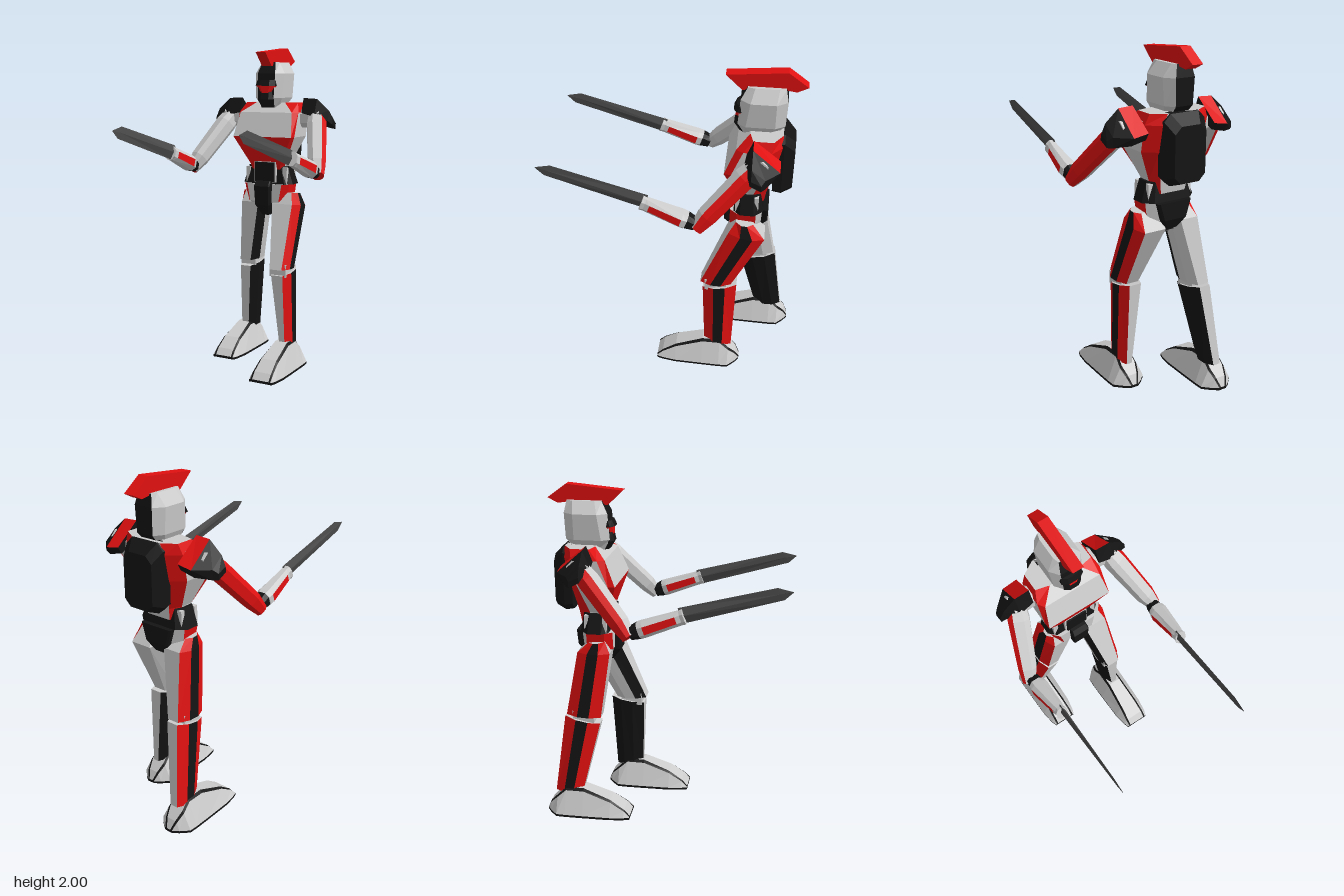
import * as THREE from 'three';

const GREY = 0xcccccc, RED = 0xe01010, BLACK = 0x141414, STEEL = 0x4c4c4c;
const mats = {};
const mat = (c) => (mats[c] ??= new THREE.MeshStandardMaterial({ color: c, flatShading: true }));

// Faceted body through matching rings of [x, y, z]; paint(band, edge) gives each face its colour,
// band -1 being the two end caps. s = -1 mirrors it in x.
function loft(parent, name, rings, paint, s = 1) {
  const tris = [];
  const n = rings[0].length;
  const V = rings.map((r) => r.map((p) => new THREE.Vector3(p[0] * s, p[1], p[2])));
  const add = (c, a, b, d) => tris.push([c, a, b, d]);
  for (let i = 0; i < V.length - 1; i++) {
    for (let k = 0; k < n; k++) {
      const j = (k + 1) % n, c = paint(i, k);
      add(c, V[i][k], V[i][j], V[i + 1][j]);
      add(c, V[i][k], V[i + 1][j], V[i + 1][k]);
    }
  }
  const last = V[V.length - 1];
  for (let k = 1; k < n - 1; k++) {
    add(paint(-1, 0), V[0][0], V[0][k + 1], V[0][k]);
    add(paint(-1, 1), last[0], last[k], last[k + 1]);
  }
  // the signed volume tells whether the faces point outward
  const o = V[0][0], q = () => new THREE.Vector3();
  let vol = 0;
  for (const [, a, b, d] of tris) vol += q().subVectors(a, o).dot(q().subVectors(b, o).cross(q().subVectors(d, o)));
  const byColor = new Map();
  for (const [c, a, b, d] of tris) {
    if (q().subVectors(b, a).cross(q().subVectors(d, a)).length() < 1e-9) continue;
    if (!byColor.has(c)) byColor.set(c, []);
    byColor.get(c).push(...(vol > 0 ? [a, b, d] : [a, d, b]));
  }
  const group = new THREE.Group();
  group.name = name;
  for (const [c, pts] of byColor) {
    const geo = new THREE.BufferGeometry().setFromPoints(pts);
    geo.computeVertexNormals();
    const mesh = new THREE.Mesh(geo, mat(c));
    mesh.name = name;
    group.add(mesh);
  }
  parent.add(group);
}

function box(parent, name, c, size, pos) {
  const mesh = new THREE.Mesh(new THREE.BoxGeometry(...size), mat(c));
  mesh.name = name;
  mesh.position.set(...pos);
  parent.add(mesh);
}

// Level eight-sided ring: front width and z, side width and z range, back width and z.
// Edges: 0/6 front corners, 1/5 sides, 2/4 back corners, 3 back, 7 front.
const ring = (y, wf, zf, ws, z1, z2, wb, zb) => {
  const half = [[wf, y, zf], [ws, y, z1], [ws, y, z2], [wb, y, zb]];
  return [...half, ...half.map(([x, yy, z]) => [-x, yy, z]).reverse()];
};

// Chamfered rectangle across the direction of a limb; edge 0 faces outward, 2 up, 4 inward.
function across(c, dir, hx, hy, k = 0.5) {
  const d = new THREE.Vector3(...dir).normalize();
  const side = new THREE.Vector3(d.z, 0, -d.x).normalize();
  const up = new THREE.Vector3().crossVectors(d, side);
  return [[1, -k], [1, k], [k, 1], [-k, 1], [-1, k], [-1, -k], [-k, -1], [k, -1]].map(([u, v]) =>
    new THREE.Vector3(...c).addScaledVector(side, u * hx).addScaledVector(up, v * hy).toArray());
}

function addHead(body) {
  loft(body, 'neck', [ring(1.56, 0.05, -0.4, 0.07, -0.43, -0.5, 0.05, -0.53),
    ring(1.66, 0.05, -0.38, 0.065, -0.41, -0.5, 0.05, -0.53)], () => GREY);
  loft(body, 'helmet', [
    ring(1.63, 0.045, -0.37, 0.06, -0.41, -0.5, 0.045, -0.54),
    ring(1.69, 0.055, -0.335, 0.09, -0.38, -0.54, 0.055, -0.595),
    ring(1.84, 0.06, -0.345, 0.102, -0.4, -0.54, 0.06, -0.6),
    ring(1.91, 0.045, -0.38, 0.055, -0.42, -0.55, 0.045, -0.585),
  ], (i, k) => (k === 7 || k === 3 ? BLACK : GREY));
  // face: jaw mask, visor and brow
  const bar = (y, w, z) => [[-w, y, z - 0.05], [-w, y, z - 0.02], [-w * 0.5, y, z], [w * 0.5, y, z], [w, y, z - 0.02], [w, y, z - 0.05]];
  loft(body, 'jawMask', [bar(1.63, 0.04, -0.345), bar(1.68, 0.055, -0.315), bar(1.73, 0.05, -0.325)], () => BLACK);
  loft(body, 'visor', [bar(1.72, 0.038, -0.32), bar(1.765, 0.068, -0.325)], () => RED);
  loft(body, 'brow', [bar(1.765, 0.068, -0.31), bar(1.8, 0.062, -0.325)], () => BLACK);
  const crest = [[-0.26, 1.97], [-0.59, 2.0], [-0.7, 1.92], [-0.64, 1.89], [-0.51, 1.91], [-0.35, 1.885]];
  loft(body, 'crest', [-0.033, 0.033].map((x) => crest.map(([z, y]) => [x, y, z])), () => RED);
}

function addTorso(body) {
  loft(body, 'chest', [
    ring(1.2, 0.09, -0.37, 0.11, -0.39, -0.44, 0.08, -0.51),
    ring(1.27, 0.1, -0.34, 0.12, -0.37, -0.45, 0.09, -0.52),
    ring(1.45, 0.2, -0.28, 0.205, -0.32, -0.5, 0.13, -0.56),
    ring(1.6, 0.178, -0.34, 0.205, -0.38, -0.53, 0.13, -0.59),
    ring(1.66, 0.1, -0.41, 0.18, -0.43, -0.54, 0.1, -0.59),
  ], (i, k) => {
    if (i < 0 || k === 3) return GREY;
    if (k === 7) return i < 2 ? RED : GREY;
    if (k === 1 || k === 5) return i === 3 ? RED : GREY;
    return RED;
  });
  // backpack, an eight-sided slab
  const slab = (z, w, y0, y1, c) => [[w, y0 + c], [w, y1 - c], [w - c, y1], [c - w, y1], [-w, y1 - c], [-w, y0 + c], [c - w, y0], [w - c, y0]]
    .map(([x, y]) => [x, y, z]);
  loft(body, 'backpack', [slab(-0.55, 0.13, 1.28, 1.66, 0.04), slab(-0.6, 0.13, 1.27, 1.66, 0.04), slab(-0.66, 0.1, 1.29, 1.6, 0.04)], () => BLACK);
  loft(body, 'waist', [
    ring(1.15, 0.13, -0.34, 0.172, -0.38, -0.46, 0.12, -0.51),
    ring(1.265, 0.1, -0.355, 0.135, -0.38, -0.45, 0.1, -0.49),
  ], () => BLACK);
  for (const s of [-1, 1]) {
    for (const z of [-0.362, -0.47]) box(body, 'waistTrim', GREY, [0.03, 0.1, 0.025], [s * 0.128, 1.205, z]);
  }
  box(body, 'buckleFrame', GREY, [0.15, 0.13, 0.05], [0, 1.227, -0.355]);
  box(body, 'buckle', BLACK, [0.132, 0.122, 0.05], [0, 1.227, -0.345]);
  loft(body, 'pelvis', [
    ring(0.97, 0.04, -0.38, 0.05, -0.4, -0.46, 0.04, -0.48),
    ring(1.04, 0.1, -0.32, 0.14, -0.37, -0.47, 0.08, -0.5),
    ring(1.15, 0.12, -0.32, 0.155, -0.36, -0.47, 0.1, -0.51),
  ], (i, k) => (i === 1 && (k === 1 || k === 5 || k === 0 || k === 6) ? RED : i === 0 && k === 3 ? BLACK : GREY));
  loft(body, 'groinGuard', [
    ring(0.95, 0.02, -0.34, 0.025, -0.36, -0.42, 0.02, -0.45),
    ring(1.02, 0.045, -0.285, 0.05, -0.3, -0.38, 0.04, -0.42),
    ring(1.14, 0.05, -0.275, 0.055, -0.29, -0.38, 0.05, -0.42),
    ring(1.17, 0.045, -0.3, 0.05, -0.31, -0.38, 0.05, -0.42),
  ], () => BLACK);
  loft(body, 'rearGuard', [
    ring(0.99, 0.03, -0.45, 0.04, -0.47, -0.5, 0.03, -0.51),
    ring(1.05, 0.07, -0.45, 0.08, -0.47, -0.53, 0.07, -0.54),
    ring(1.15, 0.1, -0.45, 0.11, -0.47, -0.53, 0.1, -0.54),
  ], () => BLACK);
}

function addArm(body, s) {
  const side = s > 0 ? 'left' : 'right';
  loft(body, side + 'Shoulder', [across([0.17, 1.56, -0.47], [1, 0, 0.01], 0.06, 0.055),
    across([0.33, 1.57, -0.46], [1, 0, 0.01], 0.06, 0.06)], () => GREY, s);
  // shoulder plate, tipped backward
  const plate = (x, pts) => pts.map(([z, y]) => [x, y, z]);
  loft(body, side + 'ShoulderPlate', [
    plate(0.215, [[-0.435, 1.69], [-0.585, 1.57], [-0.56, 1.53], [-0.4, 1.6]]),
    plate(0.305, [[-0.435, 1.685], [-0.585, 1.555], [-0.56, 1.51], [-0.39, 1.58]]),
    plate(0.385, [[-0.435, 1.615], [-0.51, 1.555], [-0.51, 1.5], [-0.42, 1.55]]),
    plate(0.41, [[-0.435, 1.56], [-0.49, 1.535], [-0.49, 1.5], [-0.43, 1.53]]),
  ], (i, k) => (i === 0 && k === 0 ? RED : BLACK), s);
  const dir = [0.14, -0.33, 0.29];
  loft(body, side + 'UpperArm', [
    across([0.295, 1.58, -0.46], dir, 0.05, 0.05),
    across([0.32, 1.52, -0.4], dir, 0.06, 0.058),
    across([0.405, 1.31, -0.21], dir, 0.052, 0.052),
    across([0.435, 1.24, -0.155], dir, 0.035, 0.035),
  ], (i, k) => ([7, 0, 1].includes(k) ? RED : GREY), s);
  const fwd = [0, 0.09, 0.25], fore = (t) => [0.412 - 0.012 * t, 1.28 + 0.085 * t, -0.1 + 0.24 * t];
  loft(body, side + 'Elbow', [across([0.415, 1.26, -0.15], fwd, 0.035, 0.035), across(fore(0), fwd, 0.04, 0.046)], () => BLACK, s);
  loft(body, side + 'Forearm', [
    across(fore(0), fwd, 0.045, 0.046), across(fore(0.12), fwd, 0.05, 0.046),
    across(fore(0.85), fwd, 0.033, 0.04), across(fore(0.95), fwd, 0.028, 0.04), across(fore(1.03), fwd, 0.033, 0.042),
  ], (i, k) => (i === 1 && (k === 0 || k === 4) ? RED : GREY), s);
  // blade with a diamond section and a slanted point
  const edge = (x, t, [zt, yt], [zb, yb]) => [[x, yt, zt], [x + t, (yt + yb) / 2, (zt + zb) / 2], [x, yb, zb], [x - t, (yt + yb) / 2, (zt + zb) / 2]];
  loft(body, side + 'Blade', [
    edge(0.39, 0.015, [0.11, 1.41], [0.13, 1.32]),
    edge(0.387 - s * 0.008, 0.004, [0.64, 1.55], [0.68, 1.485]),
    edge(0.387 - s * 0.009, 0.001, [0.725, 1.532], [0.725, 1.528]),
  ], () => STEEL, s);
}

// Leg ring: inner x, outer x, then z and y at the front and at the back.
const legRing = ([a, b, zf, yf, zb, yb]) =>
  [[b - 0.03, 0], [b, 0.33], [b, 0.67], [b - 0.03, 1], [a + 0.03, 1], [a, 0.7], [a, 0.35], [a + 0.03, 0]]
    .map(([x, t]) => [x, yf + (yb - yf) * t, zf + (zb - zf) * t]);

function addLeg(model, s, thigh, shin, footX, toeZ) {
  const side = s > 0 ? 'left' : 'right';
  loft(model, side + 'Thigh', thigh.map(legRing), (i, k) =>
    (i < 0 ? GREY : [RED, BLACK, RED, GREY, GREY, GREY, BLACK, GREY][k]), s);
  loft(model, side + 'Shin', shin.map(legRing), (i, k) =>
    (i < 0 ? GREY : [RED, BLACK, RED, GREY, BLACK, BLACK, BLACK, GREY][k]), s);
  // knee and ankle joints
  const k = thigh[thigh.length - 1], f = shin[shin.length - 1];
  box(model, side + 'Knee', GREY, [k[1] - k[0] - 0.03, 0.08, 0.13], [s * (k[0] + k[1]) / 2, 0.63, (k[2] + k[4]) / 2]);
  box(model, side + 'Ankle', BLACK, [0.06, 0.1, 0.1], [s * (f[0] + f[1]) / 2, 0.16, (f[2] + f[4]) / 2]);
  // foot sections from toe to heel: z, sole half width, top half width, height
  const section = ([z, w, t, h]) => [[w, 0], [w, Math.min(0.014, h)], [t + 0.012, h * 0.9], [t, h], [-t, h], [-t - 0.012, h * 0.9], [-w, Math.min(0.014, h)], [-w, 0]]
    .map(([x, y]) => [footX + x, y, toeZ + z]);
  loft(model, side + 'Foot', [
    [0, 0.075, 0.055, 0.016], [-0.035, 0.087, 0.055, 0.055], [-0.12, 0.1, 0.05, 0.112], [-0.29, 0.105, 0.04, 0.175],
    [-0.4, 0.107, 0.04, 0.175], [-0.455, 0.105, 0.045, 0.12], [-0.5, 0.06, 0.03, 0.07], [-0.525, 0.025, 0.012, 0.016],
  ].map(section), (i, e) => ([0, 2, 4, 6, 7].includes(e) || i < 0 ? BLACK : GREY));
}

export function createModel() {
  const model = new THREE.Group();
  model.name = 'armouredRobot';
  const body = new THREE.Group();
  body.name = 'upperBody';
  body.position.x = -0.012;
  model.add(body);
  addHead(body);
  addTorso(body);
  for (const s of [1, -1]) addArm(body, s);
  // left leg steps forward, right leg trails
  addLeg(model, 1,
    [[0.06, 0.19, -0.36, 1.1, -0.46, 1.09], [0.015, 0.212, -0.32, 1.03, -0.53, 1.0], [0.075, 0.215, -0.165, 0.64, -0.35, 0.635]],
    [[0.078, 0.215, -0.18, 0.6, -0.385, 0.635], [0.13, 0.225, -0.2, 0.15, -0.37, 0.13]], 0.175, 0.1);
  addLeg(model, -1,
    [[0.06, 0.19, -0.36, 1.1, -0.46, 1.09], [0.03, 0.205, -0.33, 1.03, -0.525, 1.03], [0.112, 0.245, -0.385, 0.63, -0.595, 0.64]],
    [[0.115, 0.246, -0.39, 0.59, -0.605, 0.63], [0.185, 0.292, -0.5, 0.14, -0.67, 0.14]], -0.245, -0.2);
  return model;
}
